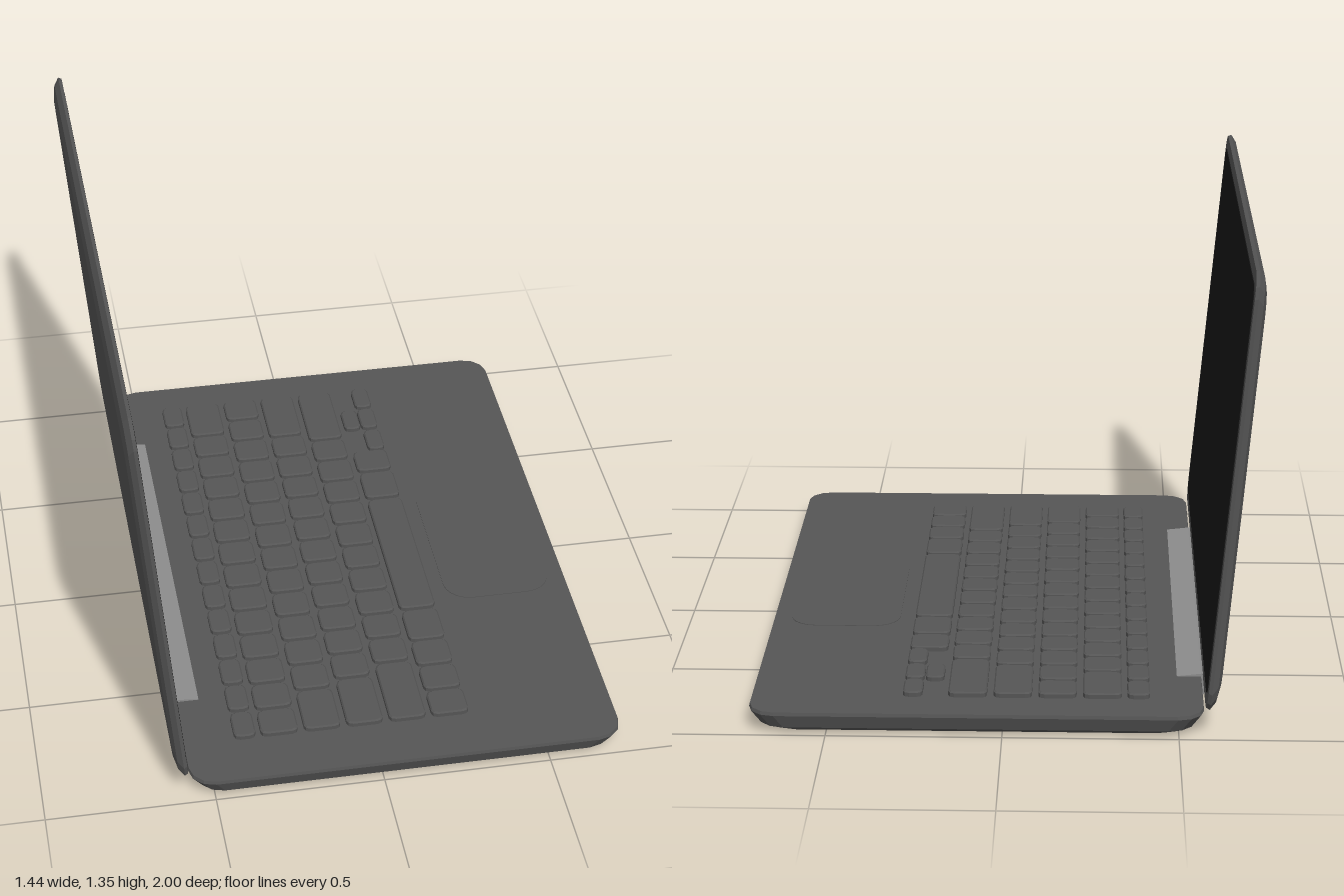
import * as THREE from 'three';

const material = (color) => new THREE.MeshStandardMaterial({ color, flatShading: true });
const bodyMat = material(0x555555);
const screenMat = material(0x171717);
const hingeMat = material(0x8c8c8c);

// Rounded rectangle in the xz plane, wound so that lofting upwards faces out.
function outline(x0, x1, z0, z1, r, segs) {
  const pts = [];
  const corners = [[x1 - r, z1 - r], [x0 + r, z1 - r], [x0 + r, z0 + r], [x1 - r, z0 + r]];
  corners.forEach(([cx, cz], q) => {
    for (let i = 0; i <= segs; i++) {
      const a = (q + i / segs) * Math.PI / 2;
      pts.push([cx + r * Math.cos(a), cz + r * Math.sin(a)]);
    }
  });
  return pts;
}

// Closed slab through stacked rounded rectangles; rings are [y, insetX, insetZ].
function slab(name, mat, [x0, x1, z0, z1], r, rings, segs = 3) {
  const pos = [], idx = [];
  let n = 0;
  for (const [y, ix, iz] of rings) {
    const ring = outline(x0 + ix, x1 - ix, z0 + iz, z1 - iz, r, segs);
    n = ring.length;
    ring.forEach(([x, z]) => pos.push(x, y, z));
  }
  const last = (rings.length - 1) * n;
  for (let k = 0; k < last; k += n) {
    for (let i = 0; i < n; i++) {
      const a = k + i, b = k + (i + 1) % n;
      idx.push(a, a + n, b, b, a + n, b + n);
    }
  }
  for (let i = 1; i < n - 1; i++) {
    idx.push(0, i, i + 1);
    idx.push(last, last + i + 1, last + i);
  }
  const geo = new THREE.BufferGeometry();
  geo.setAttribute('position', new THREE.Float32BufferAttribute(pos, 3));
  geo.setIndex(idx);
  geo.computeVertexNormals();
  const mesh = new THREE.Mesh(geo, mat);
  mesh.name = name;
  return mesh;
}

const DECK = 0.068;

function makeKeyboard() {
  const keyboard = new THREE.Group();
  keyboard.name = 'keyboard';
  const key = (x0, x1, z0, z1) => keyboard.add(slab('key', bodyMat, [x0, x1, z0, z1], 0.018,
    [[DECK - 0.004, 0, 0], [DECK + 0.012, 0, 0], [DECK + 0.016, 0.004, 0.004]], 2));
  const start = -0.87, end = 0.83, gap = 0.014;

  // Rows: x range, wide key at the -z end, count of regular keys, wide key at the +z end
  const rows = [
    [-0.42, -0.355, 0, 14, 0],
    [-0.34, -0.228, 0.175, 13, 0],
    [-0.21, -0.10, 0, 13, 0.17],
    [-0.082, 0.028, 0.222, 11, 0.202],
    [0.047, 0.158, 0.265, 10, 0.253],
  ];
  for (const [x0, x1, first, count, lastKey] of rows) {
    let z = start;
    if (first) {
      key(x0, x1, z, z + first);
      z += first + gap;
    }
    const stop = lastKey ? end - lastKey : end + gap;
    const pitch = (stop - z) / count;
    for (let i = 0; i < count; i++) key(x0, x1, z + i * pitch, z + (i + 1) * pitch - gap);
    if (lastKey) key(x0, x1, stop, end);
  }

  // Space bar row
  for (const [z0, z1] of [[-0.51, -0.404], [-0.388, -0.255], [-0.24, 0.325],
    [0.34, 0.478], [0.49, 0.597], [0.61, 0.713], [0.725, 0.83]]) key(0.175, 0.288, z0, z1);
  // Arrow keys
  for (const z of [-0.87, -0.75, -0.627]) key(0.232, 0.288, z, z + 0.107);
  key(0.175, 0.229, -0.75, -0.643);
  return keyboard;
}

function makeLid() {
  const lid = new THREE.Group();
  lid.name = 'lid';
  // Local x runs down the lid, local y points out of the display
  lid.add(slab('lidShell', bodyMat, [-1.282, 0, -1, 1], 0.065,
    [[-0.035, 0.055, 0.035], [-0.026, 0.02, 0.012], [-0.01, 0, 0], [0, 0.004, 0.004]]));
  lid.add(slab('screen', screenMat, [-1.238, -0.042, -0.955, 0.955], 0.04,
    [[-0.002, 0, 0], [0.002, 0, 0]]));
  lid.position.set(-0.575, 0.07, 0);
  lid.rotation.z = -(Math.PI / 2 - 0.09);
  return lid;
}

function makeHinge() {
  const profile = [[-0.5, 0.069], [-0.57, 0.077], [-0.592, 0.082], [-0.587, 0.03],
    [-0.578, 0.012], [-0.56, 0.006], [-0.54, 0.012], [-0.53, 0.06]];
  const shape = new THREE.Shape(profile.map(([x, y]) => new THREE.Vector2(x, y)));
  const geo = new THREE.ExtrudeGeometry(shape, { depth: 1.32, bevelEnabled: false });
  const hinge = new THREE.Mesh(geo, hingeMat);
  hinge.name = 'hinge';
  hinge.position.z = -0.69;
  return hinge;
}

export function createModel() {
  const laptop = new THREE.Group();
  laptop.name = 'laptop';
  // Base with tapered underside
  laptop.add(slab('base', bodyMat, [-0.572, 0.722, -1, 1], 0.075,
    [[0, 0.06, 0.045], [0.018, 0.026, 0.015], [0.058, 0, 0], [DECK, 0.002, 0.002]]));
  laptop.add(slab('trackpad', bodyMat, [0.335, 0.668, -0.302, 0.295], 0.08,
    [[DECK - 0.004, 0, 0], [DECK + 0.002, 0, 0]], 5));
  laptop.add(makeKeyboard(), makeHinge(), makeLid());
  return laptop;
}
